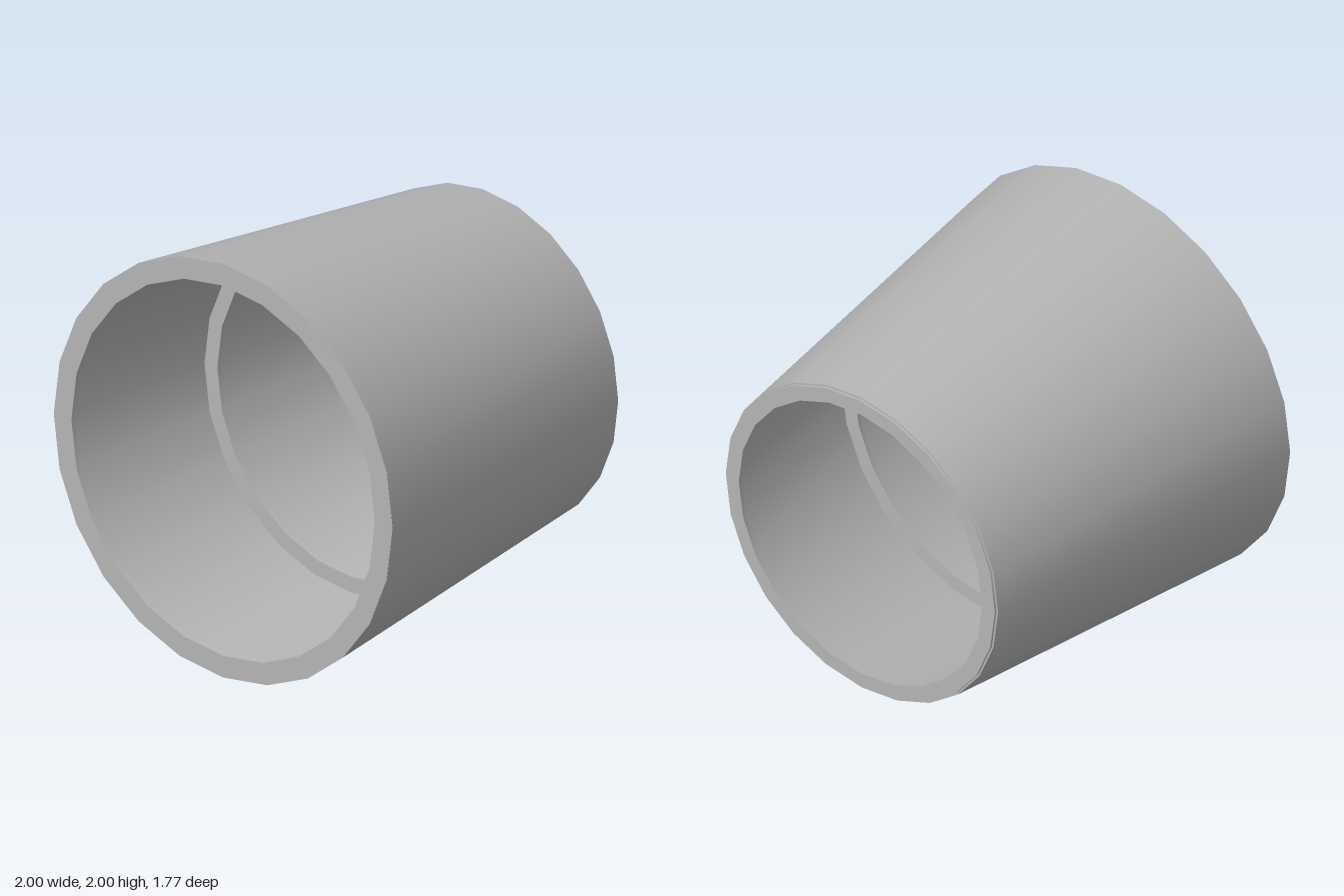
import * as THREE from 'three';
import { mergeGeometries } from 'three/addons/utils/BufferGeometryUtils.js';

const SEGMENTS = 24;
const FRONT = 0.885, BACK = -0.885;

// Revolves a profile of [radius, z] points; each segment keeps its own sharp edges
function revolve(points) {
  const strips = [];
  for (let i = 0; i < points.length - 1; i++) {
    const pair = [points[i], points[i + 1]].map(([r, z]) => new THREE.Vector2(r, z));
    strips.push(new THREE.LatheGeometry(pair, SEGMENTS));
  }
  return mergeGeometries(strips).rotateX(Math.PI / 2);
}

// Outer radius of the tapered wall at a given depth
const wallRadius = (z) => 0.9 + 0.1 * z / FRONT;

export function createModel() {
  const model = new THREE.Group();
  const grey = new THREE.MeshStandardMaterial({ color: 0xb4b4b4 });
  grey.name = 'grey';

  const add = (name, points) => {
    const mesh = new THREE.Mesh(revolve(points), grey);
    mesh.name = name;
    mesh.position.y = 1;
    model.add(mesh);
  };

  // Thin tapered wall, open at both ends
  const wall = 0.03, lip = 0.01;
  add('taperedWall', [
    [wallRadius(BACK + lip), BACK + lip], [1, FRONT],
    [1 - wall, FRONT], [wallRadius(BACK + lip) - wall, BACK + lip],
    [wallRadius(BACK + lip), BACK + lip],
  ]);

  // Flat stiffening rings inside: [name, front z, back z, outer radius, inner radius]
  const rings = [
    ['frontRing', FRONT + 0.001, FRONT - 0.02, 0.998, 0.895],
    ['middleRing', 0.01, -0.01, 0.885, 0.795],
    ['backRing', BACK + 0.02, BACK, 0.793, 0.718],
  ];
  for (const [name, z1, z0, outer, inner] of rings) {
    // The edges follow the taper of the wall
    const o0 = outer - (z1 - z0) * 0.113, i0 = inner - (z1 - z0) * 0.113;
    add(name, [[o0, z0], [outer, z1], [inner, z1], [i0, z0], [o0, z0]]);
  }
  return model;
}
